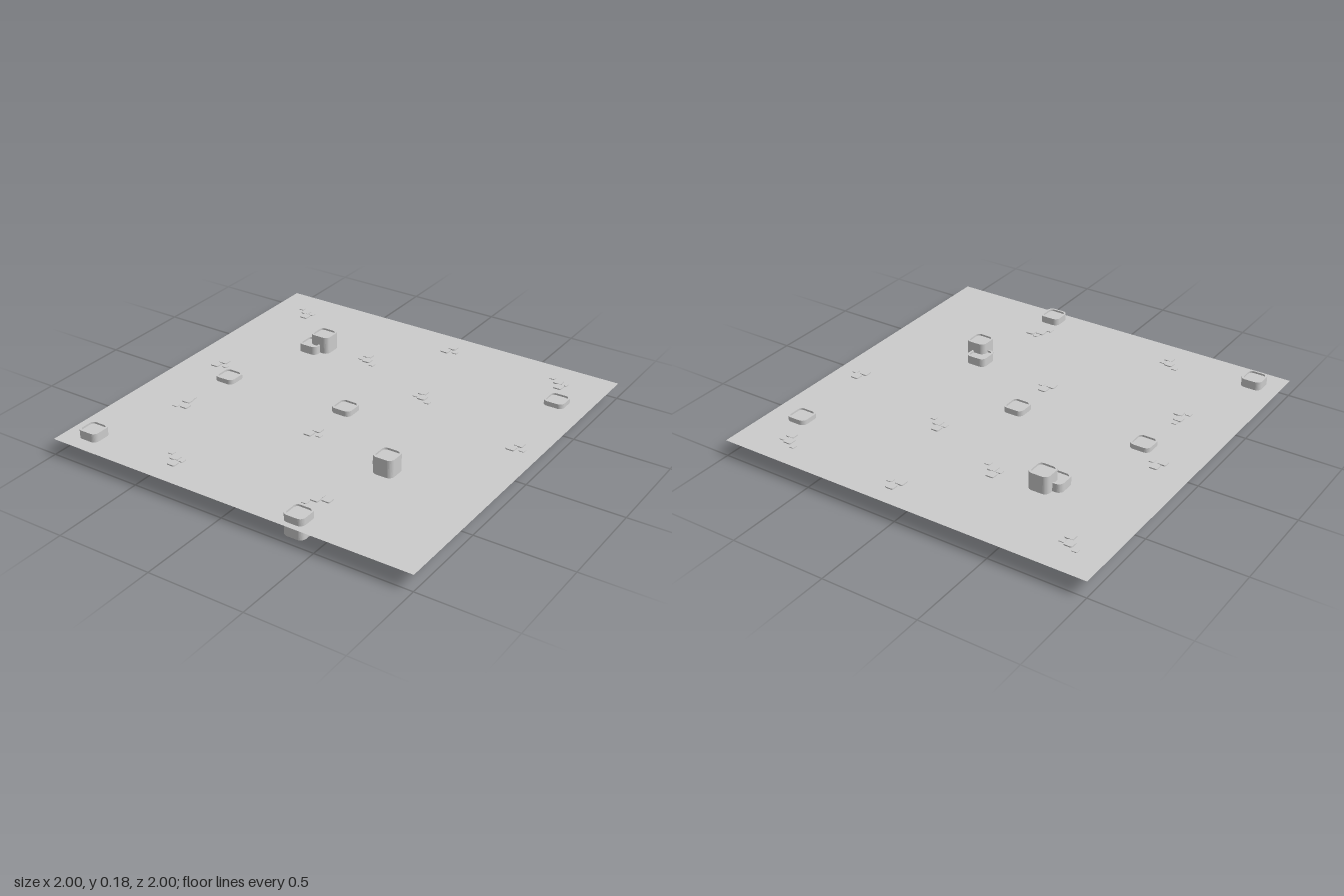
import * as THREE from 'three';

const GROUND = 0.085;

// Rounded square outline, centred on the origin
function roundedSquare(size, r, Kind = THREE.Shape) {
  const h = size / 2, s = new Kind();
  s.moveTo(-h + r, -h);
  s.lineTo(h - r, -h);
  s.absarc(h - r, -h + r, r, -Math.PI / 2, 0);
  s.lineTo(h, h - r);
  s.absarc(h - r, h - r, r, 0, Math.PI / 2);
  s.lineTo(-h + r, h);
  s.absarc(-h + r, h - r, r, Math.PI / 2, Math.PI);
  s.lineTo(-h, -h + r);
  s.absarc(-h + r, -h + r, r, Math.PI, Math.PI * 1.5);
  return s;
}

// Upright prism standing on y = 0
function prism(shape, height) {
  const g = new THREE.ExtrudeGeometry(shape, { depth: height, bevelEnabled: false, curveSegments: 4 });
  return g.rotateX(-Math.PI / 2);
}

export function createModel() {
  const model = new THREE.Group();
  const material = new THREE.MeshStandardMaterial({ color: 0xcccccc });
  const sheet = new THREE.MeshStandardMaterial({ color: 0xcccccc, side: THREE.DoubleSide });

  const add = (parent, name, geometry, x, y, z, mat = material) => {
    const mesh = new THREE.Mesh(geometry, mat);
    mesh.name = name;
    mesh.position.set(x, y, z);
    parent.add(mesh);
  };

  // Thin square ground
  add(model, 'ground', new THREE.PlaneGeometry(2, 2).rotateX(-Math.PI / 2), 0, GROUND, 0, sheet);

  // Large blocks with a narrow raised rim: x, base height, z
  const size = 0.11, lip = 0.01;
  const body = prism(roundedSquare(size, 0.028), size - lip);
  const ring = roundedSquare(size, 0.028);
  ring.holes.push(roundedSquare(size - 0.02, 0.02, THREE.Path));
  const rim = prism(ring, lip);
  const blocks = [
    [0, 0.004, 0], [0.83, 0, -0.645], [-0.68, 0, 0.05],
    [-0.47, 0.067, -0.505], [-0.515, 0.02, -0.46],
    [0.435, 0.02, 0.31], [0.475, 0.067, 0.37],
    [-0.86, 0.02, 0.87], [0.365, 0.012, 0.915],
  ];
  for (const [x, y, z] of blocks) {
    const block = new THREE.Group();
    block.name = 'block';
    block.position.set(x, y, z);
    add(block, 'blockBody', body, 0, 0, 0);
    add(block, 'blockRim', rim, 0, size - lip, 0);
    model.add(block);
  }

  // Pebble clusters: each entry is x, z and whether the pebble is large
  const large = prism(roundedSquare(0.045, 0.009), 0.044);
  const small = prism(roundedSquare(0.03, 0.006), 0.042);
  const four = [[0, 0, 1], [0.023, 0.047, 1], [-0.045, -0.027, 0], [0.04, 0.005, 0]];
  const three = [[0, 0, 1], [-0.018, 0.049, 1], [0.034, 0.039, 0]];
  const row = [[0, 0, 1], [0.024, 0.05, 1], [0.002, -0.04, 0], [-0.02, 0.067, 0]];
  // pattern, x, z, quarter turns
  const clusters = [
    [four, -0.803, -0.815, 0], [four, 0.742, -0.842, 0], [four, -0.406, 0.815, 0],
    [four, -0.2, -0.508, 2], [four, 0.25, -0.317, 2], [four, 0.34, 0.748, 1],
    [three, 0.102, -0.882, 0], [three, 0.871, -0.174, 0],
    [three, -0.813, -0.085, 0], [three, 0, 0.238, 0],
    [row, -0.706, 0.353, 0],
  ];
  for (const [pattern, x, z, turns] of clusters) {
    const cluster = new THREE.Group();
    cluster.name = 'pebbleCluster';
    cluster.position.set(x, 0.047, z);
    cluster.rotation.y = turns * Math.PI / 2;
    for (const [px, pz, big] of pattern) add(cluster, 'pebble', big ? large : small, px, 0, pz);
    model.add(cluster);
  }
  return model;
}
